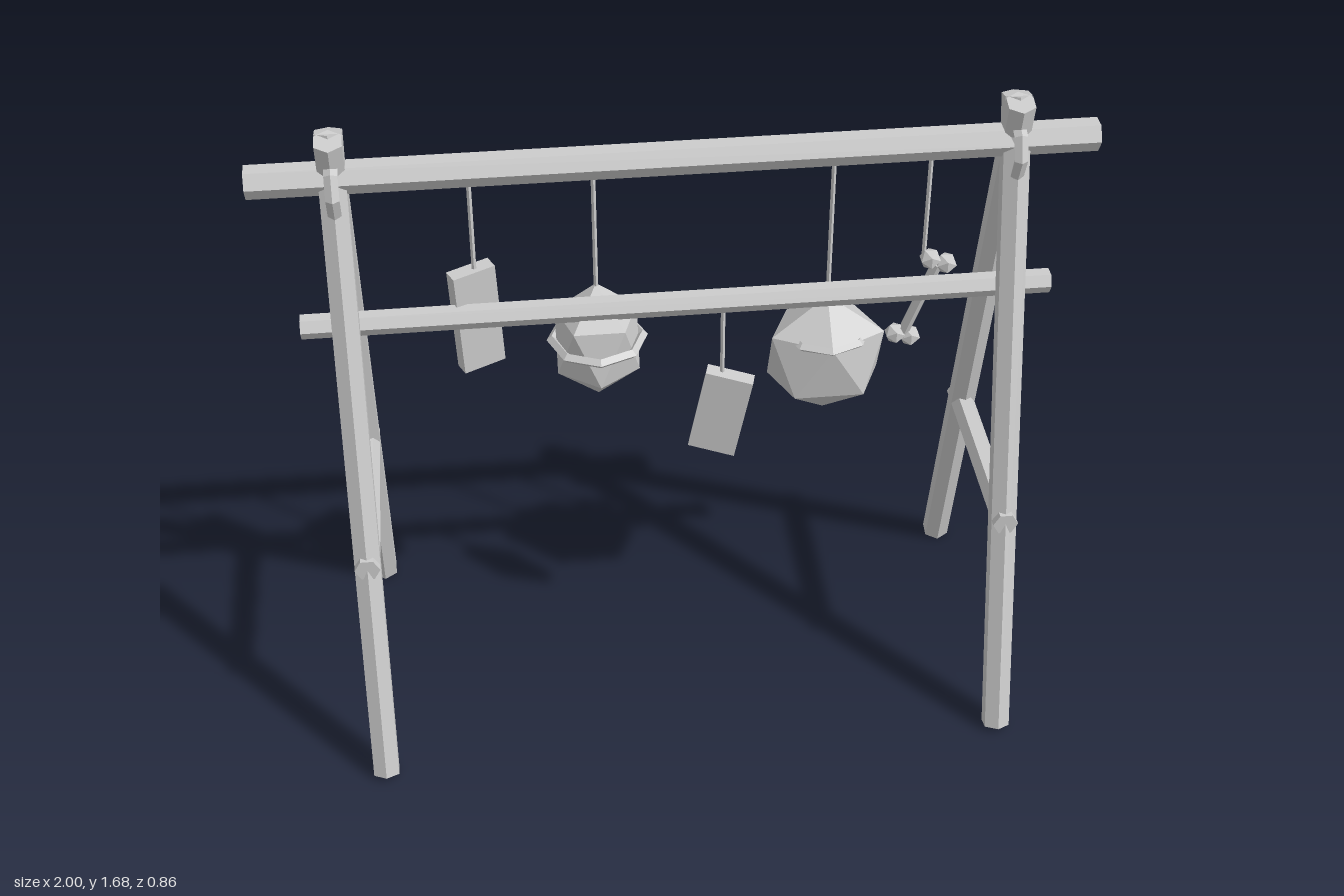
import * as THREE from 'three';

const material = new THREE.MeshStandardMaterial({ color: 0xcccccc, flatShading: true });

export function createModel() {
  const model = new THREE.Group();

  function add(name, geometry, x = 0, y = 0, z = 0) {
    const mesh = new THREE.Mesh(geometry, material);
    mesh.name = name;
    mesh.position.set(x, y, z);
    model.add(mesh);
    return mesh;
  }

  // Straight pole between two points
  function pole(name, from, to, radius, sides = 6, turn = 0) {
    const a = new THREE.Vector3(...from);
    const b = new THREE.Vector3(...to);
    const dir = b.clone().sub(a);
    const geometry = new THREE.CylinderGeometry(radius, radius, dir.length(), sides).rotateY(turn);
    const mesh = add(name, geometry, ...a.add(b).multiplyScalar(0.5).toArray());
    mesh.quaternion.setFromUnitVectors(new THREE.Vector3(0, 1, 0), dir.normalize());
    return mesh;
  }

  // Twenty-sided body standing on one corner, squashed to shape
  function charm(name, x, y, radius, sx, sz, turn) {
    const geometry = new THREE.IcosahedronGeometry(radius)
      .rotateX(-Math.atan((1 + Math.sqrt(5)) / 2))
      .rotateY(turn)
      .scale(sx, 1, sz);
    return add(name, geometry, x, y, 0);
  }

  function band(name, x, y, radius, tube) {
    return add(name, new THREE.TorusGeometry(radius, tube, 4, 8).rotateX(Math.PI / 2), x, y, 0);
  }

  // A-frames: crossed legs, brace and lashing on each end
  for (const x of [0.8, -0.8]) {
    for (const s of [1, -1]) {
      pole(s > 0 ? 'frontLeg' : 'backLeg', [x, 0.01, s * 0.395], [x, 1.667, s * -0.022], 0.037);
    }
    pole('brace', [x, 0.602, -0.284], [x, 0.602, 0.284], 0.032, 6, Math.PI / 6);
    add('lashing', new THREE.TorusGeometry(0.07, 0.017, 5, 8).rotateY(Math.PI / 2), x, 1.54, 0);
  }

  // Horizontal beams
  pole('topBeam', [-1, 1.558, 0], [1, 1.558, 0], 0.04);
  pole('lowerBeam', [-0.91, 1.177, 0.045], [0.91, 1.177, 0.045], 0.03);

  // Hanging cords: x, top, bottom, z
  for (const [x, top, bottom, z] of [
    [-0.49, 1.54, 1.27, 0],
    [-0.2, 1.54, 1.21, 0],
    [0.105, 1.17, 0.95, 0.045],
    [0.37, 1.54, 1.13, 0],
    [0.6, 1.54, 1.24, 0.01],
  ]) {
    pole('cord', [x, bottom, z], [x, top, z], 0.006, 5);
  }

  // Hanging tablets
  add('upperTablet', new THREE.BoxGeometry(0.11, 0.28, 0.04), -0.492, 1.145, 0)
    .rotation.set(0, 0.42, 0.05);
  add('lowerTablet', new THREE.BoxGeometry(0.12, 0.235, 0.04), 0.103, 0.845, 0.05)
    .rotation.set(0, -0.25, -0.19);

  // Hanging faceted charms with bands
  charm('smallCharm', -0.2, 1.055, 0.165, 0.72, 0.72, Math.PI);
  band('smallCharmBand', -0.2, 1.06, 0.112, 0.013);
  charm('largeCharm', 0.37, 0.97, 0.17, 0.97, 0.7, 0);
  band('largeCharmBand', 0.37, 1.04, 0.1, 0.012);

  // Hanging bone
  pole('boneShaft', [0.633, 1.23, 0.02], [0.57, 1.0, -0.02], 0.014);
  for (const [x, y, z] of [
    [0.615, 1.245, 0.02],
    [0.655, 1.23, 0.02],
    [0.55, 1.0, -0.02],
    [0.588, 0.99, -0.02],
  ]) {
    add('boneKnob', new THREE.IcosahedronGeometry(0.028), x, y, z);
  }

  return model;
}
